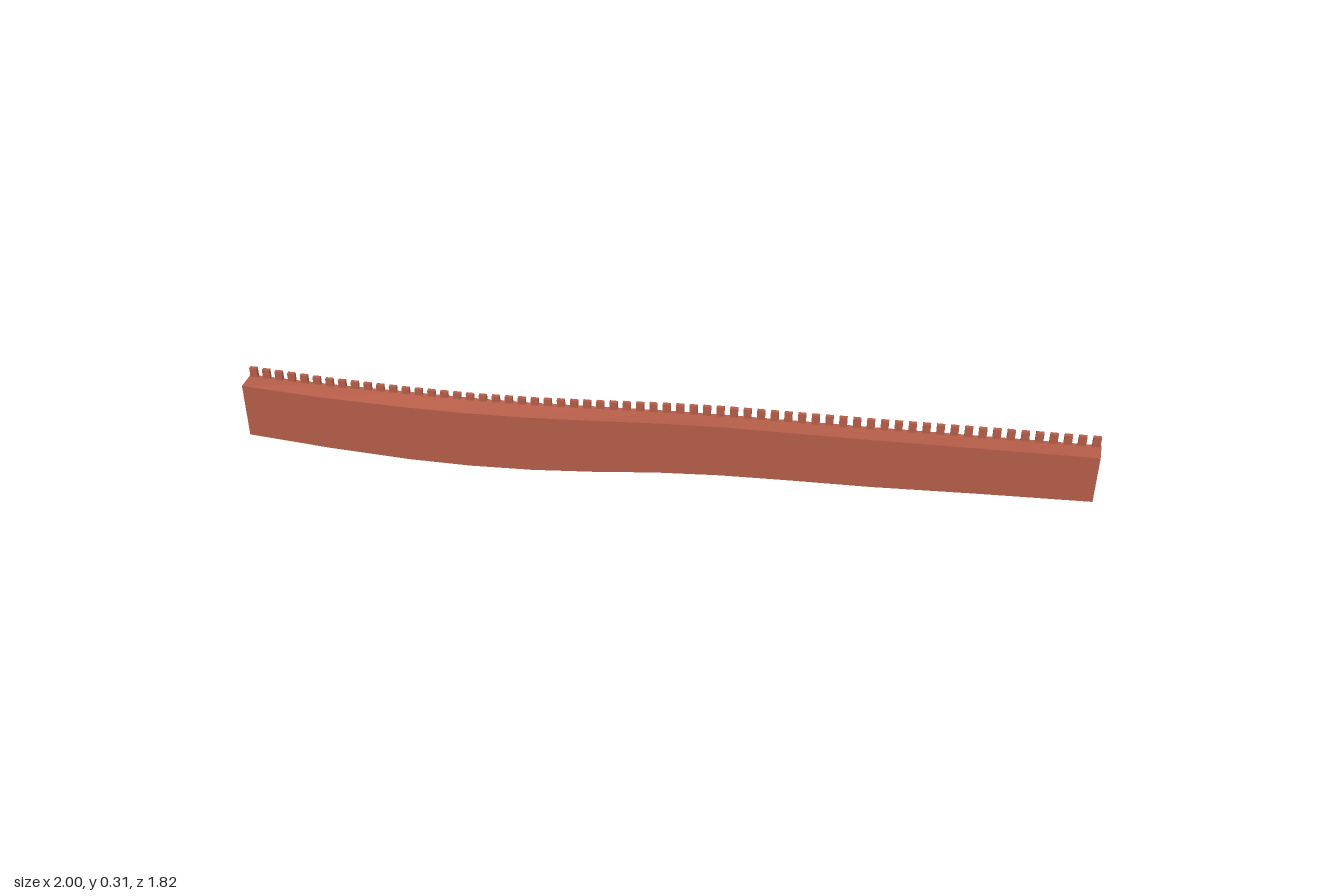
import * as THREE from 'three';

// Height profile along the wall: [t, bottom, top, rise of the outer edge]
const PROFILE = [
  [-1, 0.035, 0.224, 0], [-0.8, 0.015, 0.21, 0.008], [-0.6, 0.003, 0.205, 0.014],
  [-0.45, 0.003, 0.206, 0.014], [-0.3, 0.012, 0.213, 0.012], [-0.15, 0.03, 0.226, 0.009],
  [0, 0.053, 0.241, 0.004], [0.15, 0.068, 0.251, 0.001], [0.3, 0.076, 0.255, 0.001],
  [0.5, 0.084, 0.26, 0.001], [0.75, 0.101, 0.269, 0], [1, 0.115, 0.277, 0],
];

function heights(t) {
  let i = 0;
  while (i < PROFILE.length - 2 && t > PROFILE[i + 1][0]) i++;
  const a = PROFILE[i], b = PROFILE[i + 1];
  const k = (t - a[0]) / (b[0] - a[0]);
  return [1, 2, 3].map((j) => a[j] + (b[j] - a[j]) * k);
}

// Plan positions of the inner (front) and outer (back) faces
const front = (t, y) => [0.9765 * t - 0.0235, y, 0.8855 * t + 0.0225];
const back = (t, y) => [0.9765 * t + 0.0235, y, 0.8855 * t - 0.0225];

function section(t) {
  const [bottom, top, rise] = heights(t);
  return [front(t, bottom), front(t, top), back(t, top + rise), back(t, bottom)];
}

function wallGeometry() {
  const pos = [];
  const quad = (a, b, c, d) => pos.push(...a, ...b, ...c, ...a, ...c, ...d);
  const rings = PROFILE.map((p) => section(p[0]));
  for (let i = 0; i < rings.length - 1; i++) {
    for (let k = 0; k < 4; k++) {
      const n = (k + 1) % 4;
      quad(rings[i][k], rings[i + 1][k], rings[i + 1][n], rings[i][n]);
    }
  }
  quad(...rings[0]);
  quad(...rings[rings.length - 1].slice().reverse());
  const geo = new THREE.BufferGeometry();
  geo.setAttribute('position', new THREE.Float32BufferAttribute(pos, 3));
  geo.computeVertexNormals();
  return geo;
}

export function createModel() {
  const model = new THREE.Group();
  model.name = 'battlementWall';
  const brick = new THREE.MeshStandardMaterial({ color: 0xb95f4a });
  brick.name = 'red brick';

  // Long wall following the ground
  const wall = new THREE.Mesh(wallGeometry(), brick);
  wall.name = 'wall';
  model.add(wall);

  // Row of merlons along the outer edge
  const battlements = new THREE.Group();
  battlements.name = 'battlements';
  const count = 64, height = 0.04;
  const box = new THREE.BoxGeometry(0.024, height, 0.012);
  for (let i = 0; i < count; i++) {
    const t = -0.988 + (1.976 * i) / (count - 1);
    const [, top] = heights(t);
    const merlon = new THREE.Mesh(box, brick);
    merlon.name = 'merlon';
    const [x, y, z] = back(t, top - 0.007 + height / 2);
    merlon.position.set(x - 0.0035, y, z + 0.0038);
    merlon.rotation.y = -Math.atan2(0.8855, 0.9765);
    battlements.add(merlon);
  }
  model.add(battlements);
  return model;
}
